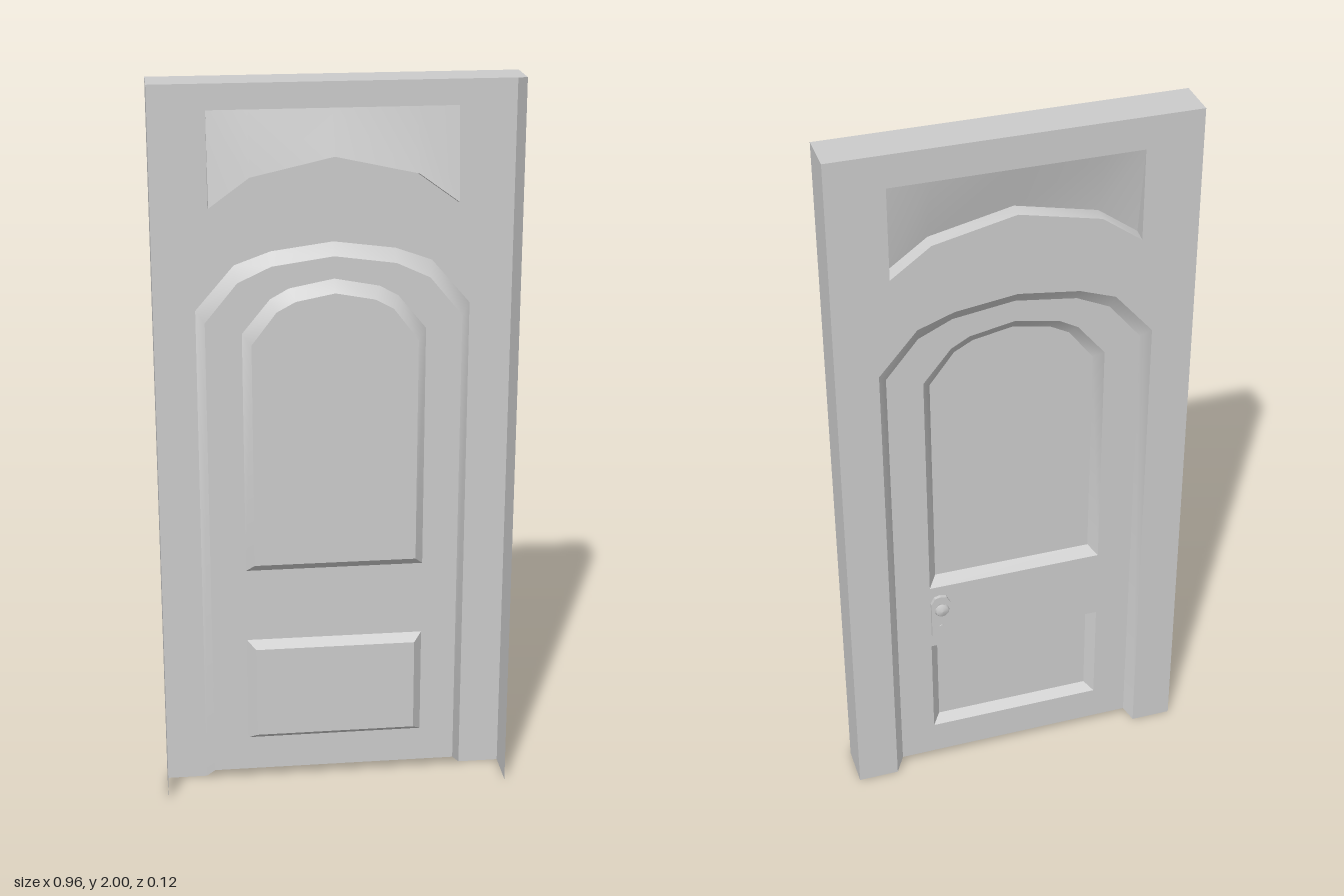
import * as THREE from 'three';
import { toCreasedNormals } from 'three/addons/utils/BufferGeometryUtils.js';

const material = new THREE.MeshStandardMaterial({ color: 0xcccccc, side: THREE.DoubleSide });

// Depths: open rim, frame face, door leaf, sunk panels
const RIM = 0.06, FACE = -0.056, LEAF = -0.032, PANEL = -0.006;

// Mirrors a right-hand outline (bottom to crown on x = 0) into a full left-to-right one
function mirrored(right) {
  const left = right.slice(0, -1).map(([x, y]) => [-x, y]);
  return [...left, right[right.length - 1], ...right.slice(0, -1).reverse()];
}

const toVectors = (pts) => pts.map(([x, y]) => new THREE.Vector2(x, y));

function mesh(name, geometry) {
  const m = new THREE.Mesh(geometry, material);
  m.name = name;
  return m;
}

// Flat sheet at depth z facing the back, with optional holes
function sheet(name, outline, z, holes = []) {
  const shape = new THREE.Shape(toVectors(outline));
  holes.forEach((h) => shape.holes.push(new THREE.Path(toVectors(h))));
  const g = new THREE.ShapeGeometry(shape);
  g.index.array.reverse();
  g.computeVertexNormals();
  g.translate(0, 0, z);
  return mesh(name, g);
}

// Band of quads joining two outlines with the same number of [x, y, z] points
function band(name, a, b, closed = false) {
  const n = a.length, index = [];
  for (let i = 0; i < (closed ? n : n - 1); i++) {
    const j = (i + 1) % n;
    index.push(i, n + j, j, i, n + i, n + j);
  }
  const g = new THREE.BufferGeometry();
  g.setAttribute('position', new THREE.Float32BufferAttribute([...a, ...b].flat(), 3));
  g.setIndex(index);
  return mesh(name, toCreasedNormals(g, 0.75));
}

const atZ = (pts, z) => pts.map(([x, y]) => [x, y, z]);

export function createModel() {
  const door = new THREE.Group();
  door.name = 'door';

  // Outlines
  const archOuter = mirrored([[0.365, 0], [0.365, 1.385], [0.262, 1.505], [0.165, 1.54], [0, 1.562]]);
  const archInner = mirrored([[0.342, 0.03], [0.342, 1.357], [0.255, 1.463], [0.165, 1.505], [0, 1.528]]);
  const panelOuter = mirrored([[0.245, 0.645], [0.245, 1.325], [0.17, 1.417], [0.12, 1.445], [0, 1.468]]);
  const panelInner = mirrored([[0.222, 0.67], [0.222, 1.3], [0.155, 1.388], [0.105, 1.415], [0, 1.435]]);
  const lowerOuter = [[-0.245, 0.13], [-0.245, 0.435], [0.245, 0.435], [0.245, 0.13]];
  const lowerInner = [[-0.222, 0.15], [-0.222, 0.415], [0.222, 0.415], [0.222, 0.15]];
  const transomLow = mirrored([[0.327, 1.66], [0.22, 1.738], [0, 1.787]]);
  const transomTop = 1.912;

  // Casing: sides and top, open at the front and below
  const casing = [[-0.478, 0], [-0.478, 2], [0.478, 2], [0.478, 0]];
  door.add(band('casing', atZ(casing, RIM), atZ(casing, FACE)));

  // Frame face around the arch and the transom opening
  const transomHole = [[-0.327, transomTop], ...transomLow, [0.327, transomTop]];
  door.add(sheet('frameFace', [...casing.slice(0, 1), ...archOuter, ...casing.slice(1).reverse()], FACE, [transomHole]));

  // Transom: wedge recess, deepest along the curved lower ledge
  const deep = transomLow.map(([x, y]) => [x, y + 0.006, -0.02]);
  const ends = [-0.327, 0.327].map((x) => [x, transomTop, FACE]);
  door.add(band('transomLedge', [ends[0], ...atZ(transomLow, FACE), ends[1]], [ends[0], ...deep, ends[1]]));
  door.add(band('transomSlope', transomLow.map(([x]) => [x, transomTop, FACE]), deep));

  // Door leaf set into the arch, with two sunk panels
  door.add(band('archBevel', atZ(archOuter, FACE), atZ(archInner, LEAF)));
  door.add(sheet('doorLeaf', archInner, LEAF, [panelOuter, lowerOuter]));
  [['upperPanel', panelOuter, panelInner], ['lowerPanel', lowerOuter, lowerInner]].forEach(([name, outer, inner]) => {
    door.add(band(name + 'Bevel', atZ(outer, LEAF), atZ(inner, PANEL), true));
    door.add(sheet(name, inner, PANEL));
  });

  // Handle: chamfered plate, knob and keyhole boss
  const handle = new THREE.Group();
  handle.name = 'handle';
  handle.position.set(0.217, 0, LEAF);
  const plateOutline = mirrored([[0.027, 0.478], [0.027, 0.592], [0.017, 0.612], [0, 0.616]]);
  const plate = new THREE.ExtrudeGeometry(new THREE.Shape(toVectors(plateOutline)), { depth: 0.01, bevelEnabled: false });
  plate.translate(0, 0, -0.01);
  handle.add(mesh('handlePlate', plate));

  const knobProfile = [[0.009, 0], [0.009, 0.012], [0.018, 0.015], [0.021, 0.021], [0.017, 0.027], [0, 0.0295]];
  const knob = mesh('knob', new THREE.LatheGeometry(toVectors(knobProfile), 12));
  knob.rotation.x = -Math.PI / 2;
  knob.position.y = 0.578;
  handle.add(knob);

  const boss = mesh('keyholeBoss', new THREE.CylinderGeometry(0.007, 0.007, 0.004, 8));
  boss.rotation.x = Math.PI / 2;
  boss.position.set(0, 0.51, -0.011);
  handle.add(boss);
  door.add(handle);

  return door;
}
